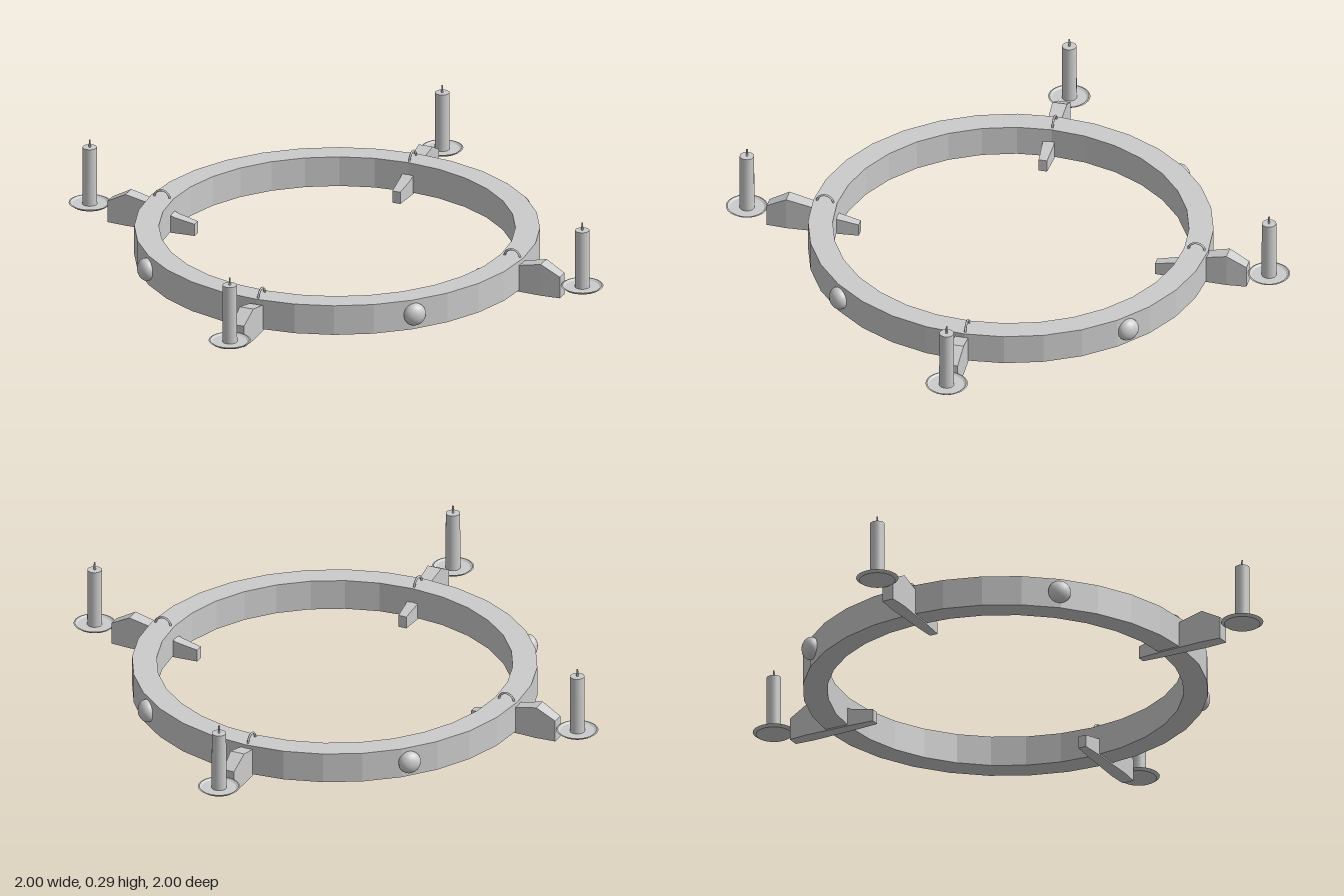
import * as THREE from 'three';

const smooth = new THREE.MeshStandardMaterial({ color: 0xcccccc });
const flat = new THREE.MeshStandardMaterial({ color: 0xcccccc, flatShading: true });

const RING_Z = -0.01; // the ring sits slightly behind the centre of the arms
const RING_TOP = 0.115;

function part(name, geometry, material, x = 0, y = 0, z = 0) {
  const mesh = new THREE.Mesh(geometry, material);
  mesh.name = name;
  mesh.position.set(x, y, z);
  return mesh;
}

function lathe(points, segments) {
  return new THREE.LatheGeometry(points.map(([r, y]) => new THREE.Vector2(r, y)), segments);
}

// Tapered bracket running outwards along +x; each section is [distance, half width, top]
function armGeometry() {
  const sections = [
    [0.525, 0.015, 0.045],
    [0.6, 0.02, 0.06],
    [0.7, 0.023, 0.1],
    [0.78, 0.026, 0.118],
    [0.85, 0.021, 0.08],
  ];
  const n = sections.length - 1;
  const geometry = new THREE.BoxGeometry(n, 1, 1, n, 1, 1);
  const p = geometry.attributes.position;
  for (let i = 0; i < p.count; i++) {
    const [r, half, top] = sections[Math.round(p.getX(i) + n / 2)];
    p.setXYZ(i, r, p.getY(i) > 0 ? top : 0.001, Math.sign(p.getZ(i)) * half);
  }
  geometry.computeVertexNormals();
  return geometry;
}

export function createModel() {
  const model = new THREE.Group();
  model.name = 'candleRing';

  // Main hoop
  const hoop = lathe(
    [[0.7, 0.006], [0.7, RING_TOP], [0.615, RING_TOP], [0.615, 0.006], [0.7, 0.006]], 32);
  model.add(part('hoop', hoop, flat, 0, 0, RING_Z));

  // Shared geometry for the four arms
  const arm = armGeometry();
  const dish = lathe(
    [[0, 0.046], [0.062, 0.046], [0.073, 0.054], [0.068, 0.055], [0.06, 0.05], [0, 0.05]], 28);
  const candle = new THREE.CylinderGeometry(0.025, 0.026, 0.212, 20);
  const wick = new THREE.CylinderGeometry(0.003, 0.004, 0.028, 6);
  const loop = new THREE.TorusGeometry(0.029, 0.004, 6, 16, Math.PI);

  for (let i = 0; i < 4; i++) {
    const angle = (i * Math.PI) / 2;

    // Bracket, drip dish, candle and wick
    const holder = new THREE.Group();
    holder.name = 'candleArm';
    holder.rotation.y = angle;
    holder.add(
      part('bracket', arm, flat),
      part('dripDish', dish, flat, 0.925),
      part('candle', candle, smooth, 0.925, 0.155),
      part('wick', wick, smooth, 0.925, 0.274));
    model.add(holder);

    // Hanging loop on top of the hoop
    const hook = part('hangingLoop', loop, smooth,
      0.658 * Math.cos(angle), RING_TOP - 0.004, RING_Z - 0.658 * Math.sin(angle));
    hook.rotation.y = angle;
    model.add(hook);
  }

  // Round studs on the outside of the hoop, flattened towards it
  const stud = new THREE.SphereGeometry(0.04, 20, 14).scale(1, 1, 0.75);
  for (const [x, z] of [[0.504, 0.482], [-0.504, 0.485], [-0.52, -0.49], [0.466, -0.535]]) {
    const mesh = part('stud', stud, smooth, x, 0.063, z);
    mesh.rotation.y = Math.atan2(x, z - RING_Z);
    model.add(mesh);
  }

  return model;
}
